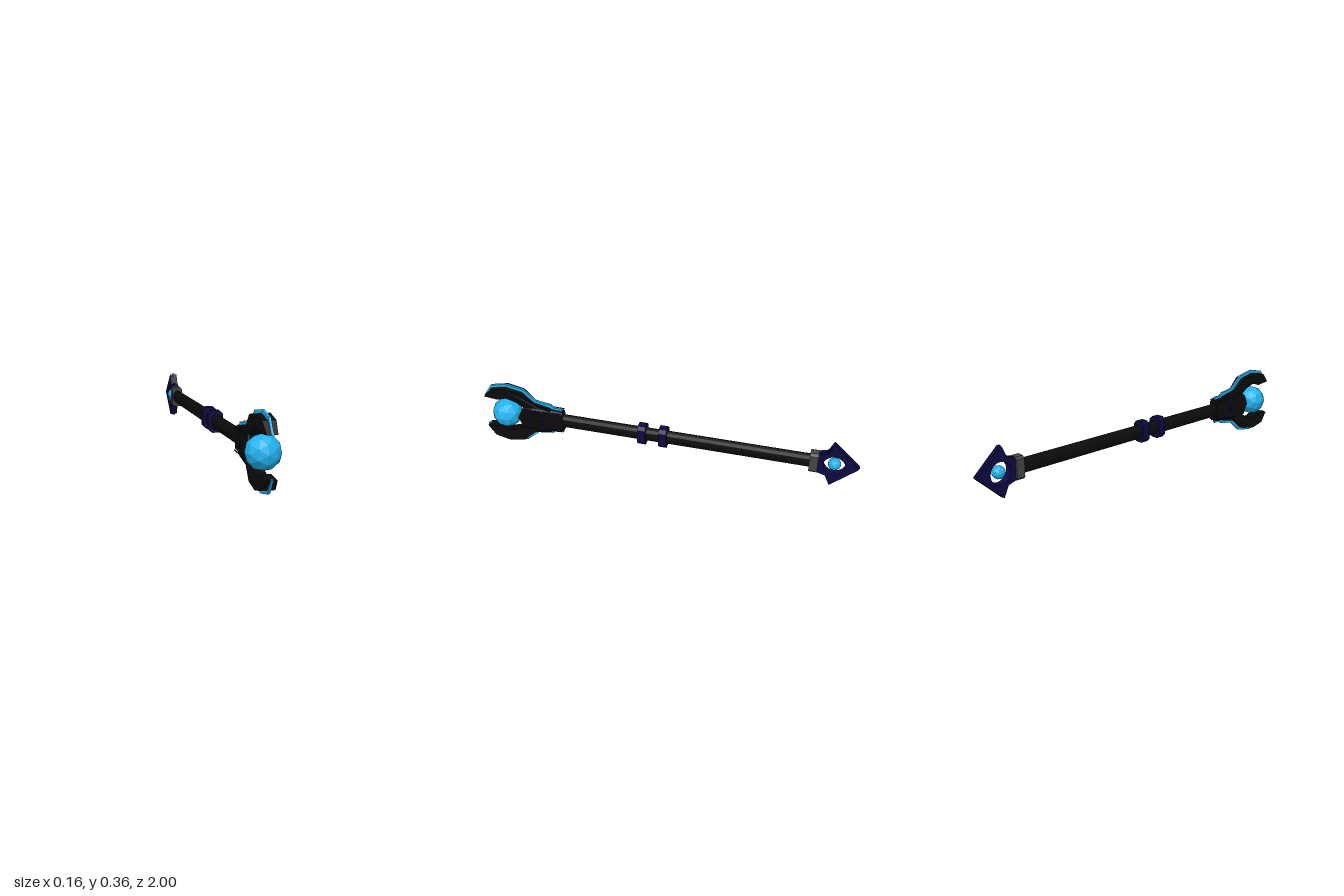
import * as THREE from 'three';

const AXIS = 0.183; // height of the staff's long axis

const mat = (color) => new THREE.MeshStandardMaterial({ color, flatShading: true });
const black = mat(0x0b0b0b);
const navy = mat(0x0d0a42);
const blue = mat(0x22b4f0);
const grey = mat(0x444444);

function add(parent, name, geometry, material) {
  const mesh = new THREE.Mesh(geometry, material);
  mesh.name = name;
  parent.add(mesh);
  return mesh;
}

const shapeOf = (pts) => new THREE.Shape(pts.map(([a, b]) => new THREE.Vector2(a, b)));

// Side profile given as [z, y], extruded symmetrically across x
function sidePlate(shape, width) {
  return new THREE.ExtrudeGeometry(shape, { depth: width, bevelEnabled: false, curveSegments: 8 })
    .translate(0, 0, -width / 2)
    .rotateY(-Math.PI / 2);
}

// Chamfered rectangular section, as [x, y]
const section = (hx, hy, c) => [
  [hx, -hy + c], [hx, hy - c], [hx - c, hy], [-hx + c, hy],
  [-hx, hy - c], [-hx, -hy + c], [-hx + c, -hy], [hx - c, -hy],
];

// Chamfered block running along z
function block(hx, hy, c, z0, z1) {
  return new THREE.ExtrudeGeometry(shapeOf(section(hx, hy, c)), { depth: z1 - z0, bevelEnabled: false })
    .translate(0, 0, z0);
}

// Loft through chamfered sections [z, hx, hy, chamfer], with closed ends
function loft(rows) {
  const pos = [], idx = [], n = 8;
  for (const [z, hx, hy, c] of rows) {
    for (const [x, y] of section(hx, hy, c)) pos.push(x, y, z);
  }
  for (let r = 0; r < rows.length - 1; r++) {
    for (let i = 0; i < n; i++) {
      const a = r * n + i, b = r * n + (i + 1) % n;
      idx.push(a, b, b + n, a, b + n, a + n);
    }
  }
  const last = (rows.length - 1) * n;
  for (let i = 1; i < n - 1; i++) {
    idx.push(0, i + 1, i, last, last + i, last + i + 1);
  }
  const g = new THREE.BufferGeometry();
  g.setAttribute('position', new THREE.Float32BufferAttribute(pos, 3));
  g.setIndex(idx);
  const flat = g.toNonIndexed();
  flat.computeVertexNormals();
  return flat;
}

// One curved prong with its glowing edge strip
function makeClaw() {
  const claw = new THREE.Group();
  const body = sidePlate(shapeOf([
    [0.995, 0.094], [0.95, 0.147], [0.87, 0.164], [0.78, 0.147], [0.715, 0.09], [0.62, 0.07],
    [0.62, 0.03], [0.75, 0.03], [0.775, 0.062], [0.81, 0.085], [0.865, 0.104], [0.915, 0.086],
  ]), 2);
  // Prong flares towards its outer edge
  const p = body.attributes.position;
  for (let i = 0; i < p.count; i++) {
    const t = THREE.MathUtils.clamp((p.getY(i) - 0.09) / 0.07, 0, 1);
    p.setX(i, p.getX(i) * (0.024 + 0.009 * t));
  }
  body.computeVertexNormals();
  add(claw, 'clawBody', body, black);

  add(claw, 'clawEdge', sidePlate(shapeOf([
    [1.0, 0.092], [0.955, 0.161], [0.87, 0.18], [0.775, 0.163], [0.705, 0.102], [0.62, 0.09],
    [0.605, 0.075], [0.56, 0.075], [0.56, 0.055], [0.62, 0.06], [0.72, 0.08], [0.785, 0.135],
    [0.87, 0.15], [0.945, 0.133], [0.985, 0.09],
  ]), 0.012), blue);
  return claw;
}

export function createModel() {
  const model = new THREE.Group();
  model.name = 'staff';
  const staff = new THREE.Group();
  staff.name = 'staffAssembly';
  staff.position.y = AXIS;
  model.add(staff);

  // Oval shaft
  const shaft = new THREE.CylinderGeometry(1, 1, 1.36, 12)
    .rotateX(Math.PI / 2).scale(0.025, 0.038, 1).translate(0, 0, -0.08);
  add(staff, 'shaft', shaft, black);

  // Grip rings
  for (const z of [0.117, 0.005]) {
    add(staff, 'gripRing', block(0.037, 0.056, 0.018, z - 0.021, z + 0.021), navy);
  }

  // Head socket, with pointed cheeks reaching towards the orb
  add(staff, 'headSocket', loft([
    [0.555, 0.026, 0.06, 0.012], [0.61, 0.03, 0.064, 0.014],
    [0.66, 0.036, 0.07, 0.016], [0.715, 0.036, 0.074, 0.016], [0.77, 0.03, 0.066, 0.014],
  ]), black);
  for (const s of [-1, 1]) {
    const cheek = sidePlate(shapeOf([
      [0.8, 0], [0.775, 0.058], [0.67, 0.052], [0.67, -0.052], [0.775, -0.058],
    ]), 0.012);
    add(staff, 'socketCheek', cheek, black).position.x = s * 0.032;
    // Navy piping along the socket's sides
    for (const t of [-1, 1]) {
      const piping = new THREE.BoxGeometry(0.005, 0.004, 0.21);
      const m = add(staff, 'socketPiping', piping, navy);
      m.position.set(s * 0.0335, t * 0.056, 0.665);
      m.rotation.y = s * 0.05;
    }
  }
  add(staff, 'socketBand', block(0.038, 0.073, 0.017, 0.661, 0.669), navy);

  // Two opposing claws
  for (const [name, turn] of [['upperClaw', 0], ['lowerClaw', Math.PI]]) {
    const claw = makeClaw();
    claw.name = name;
    claw.rotation.z = turn;
    staff.add(claw);
  }

  // Faceted head orb
  add(staff, 'headOrb', new THREE.IcosahedronGeometry(0.081, 1), blue).position.z = 0.877;

  // Tail collar
  add(staff, 'tailCollar', block(0.03, 0.057, 0.012, -0.795, -0.752), grey);

  // Arrow-shaped pommel: wide plate with a slim, slightly larger core
  for (const [name, grow, width] of [['pommelPlate', 0.96, 0.04], ['pommelCore', 1, 0.016]]) {
    const half = [[-0.79, 0.056], [-0.835, 0.07], [-0.862, 0.128]];
    const pts = [...half, [-1, 0], ...half.map(([z, y]) => [z, -y]).reverse()]
      .map(([z, y]) => [-0.875 + (z + 0.875) * grow, y * grow]);
    const shape = shapeOf(pts);
    const hole = new THREE.Path();
    hole.absarc(-0.875, 0, 0.055, 0, Math.PI * 2, true);
    shape.holes.push(hole);
    add(staff, name, sidePlate(shape, width), navy);
  }
  add(staff, 'pommelOrb', new THREE.IcosahedronGeometry(0.033, 1), blue).position.z = -0.875;

  return model;
}
